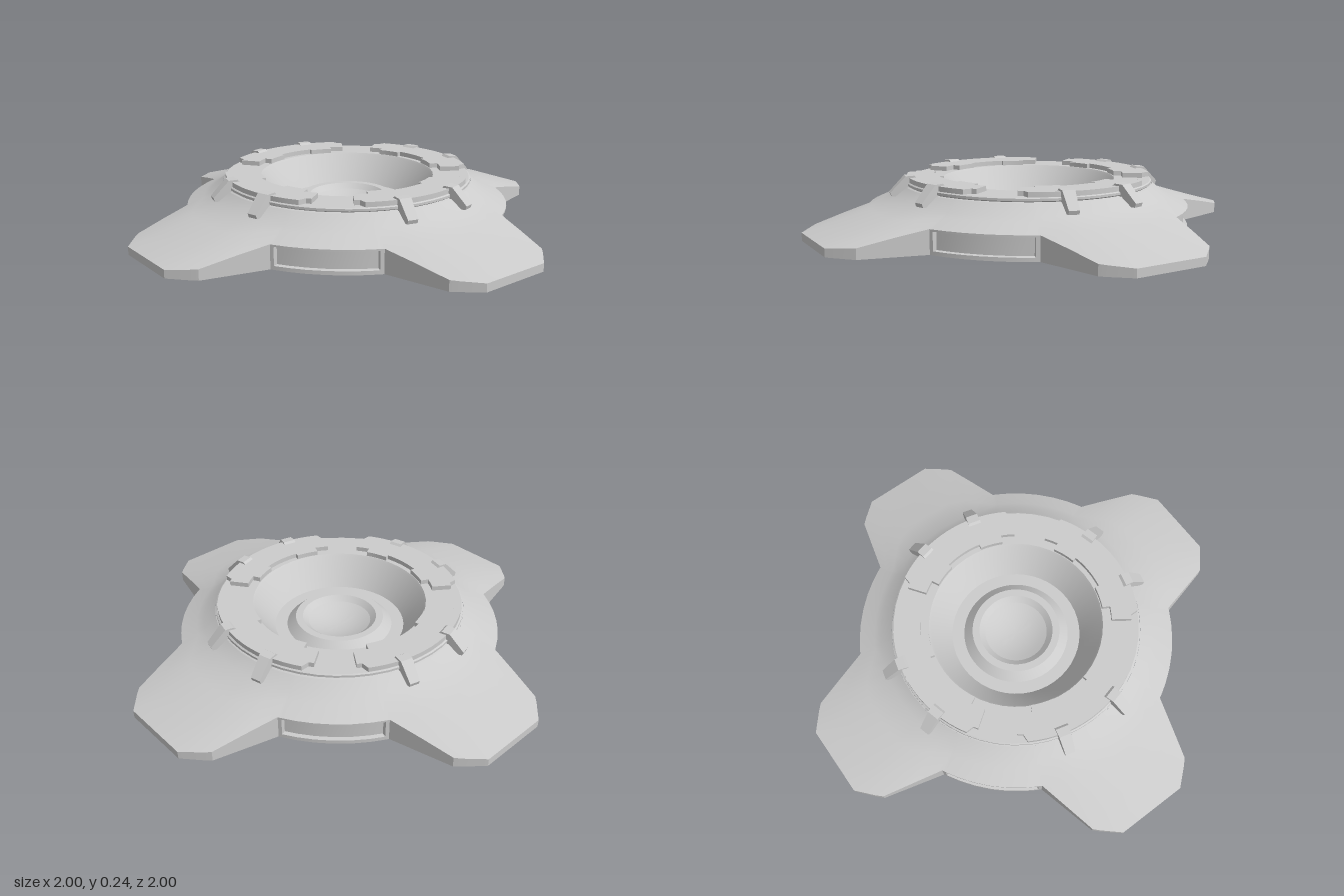
import * as THREE from 'three';
import { toCreasedNormals } from 'three/addons/utils/BufferGeometryUtils.js';

const RAD = Math.PI / 180;

function part(geometry, name, crease = 0.5) {
  const material = new THREE.MeshStandardMaterial({ color: 0xcccccc, side: THREE.DoubleSide });
  const mesh = new THREE.Mesh(toCreasedNormals(geometry, crease), material);
  mesh.name = name;
  return mesh;
}

// One quarter of the star outline, from the +z arm round to the +x arm: x, z, top height, panel inset
function quarterOutline() {
  const arm = [[0, 1, 0.035], [0.16, 1, 0.035], [0.235, 0.935, 0.042], [0.26, 0.91, 0.045], [0.295, 0.775, 0.075]];
  const start = Math.atan2(0.33, 0.64);
  const span = Math.PI / 2 - 2 * start;
  const arc = [0, 0.035, 0.045, 0.17, 0.33, 0.5, 0.67, 0.83, 0.955, 0.965, 1].map((t, i) => {
    const a = start + span * t;
    const inset = i > 1 && i < 9 ? 0.018 : 0;
    return [0.72 * Math.sin(a), 0.72 * Math.cos(a), 0.102, inset];
  });
  const mirrored = arm.slice(1).reverse().map(([x, z, y]) => [z, x, y]);
  return [...arm, ...arc, ...mirrored];
}

// Hollow star-shaped shell lofted from the shoulder to the skirt, with recessed wall panels
function shellGeometry() {
  const outline = [];
  for (let q = 0; q < 4; q++) {
    for (const [x, z, y, inset = 0] of quarterOutline()) {
      outline.push({ a: Math.atan2(x, z) + q * Math.PI / 2, r: Math.hypot(x, z), y, inset });
    }
  }
  const rings = [
    () => [0.56, 0.193],
    () => [0.615, 0.15],
    o => [THREE.MathUtils.lerp(0.615, o.r, 0.3), THREE.MathUtils.lerp(0.15, o.y, 0.32)],
    o => [THREE.MathUtils.lerp(0.615, o.r, 0.65), THREE.MathUtils.lerp(0.15, o.y, 0.67)],
    o => [o.r, o.y],
    o => [o.r, o.y * 0.92],
    o => [o.r - o.inset, o.y * 0.9],
    o => [o.r - o.inset, o.y * 0.18],
    o => [o.r, o.y * 0.16],
    o => [o.r, 0],
  ];
  const n = outline.length;
  const positions = [];
  const index = [];
  rings.forEach((ring, i) => {
    outline.forEach((o, j) => {
      const [r, y] = ring(o);
      positions.push(r * Math.sin(o.a), y, r * Math.cos(o.a));
      if (i === rings.length - 1) return;
      const a = i * n + j;
      const b = i * n + (j + 1) % n;
      index.push(a, a + n, b, b, a + n, b + n);
    });
  });
  const geometry = new THREE.BufferGeometry();
  geometry.setAttribute('position', new THREE.Float32BufferAttribute(positions, 3));
  geometry.setIndex(index);
  return geometry;
}

function latheGeometry(points, segments) {
  return new THREE.LatheGeometry(points.map(([r, y]) => new THREE.Vector2(r, y)), segments);
}

// Stepped arc plate lying flat, centred on the z axis
function plateGeometry() {
  const points = [];
  const arc = (r, from, to, steps) => {
    for (let i = 0; i <= steps; i++) {
      const a = (from + (to - from) * i / steps) * RAD;
      points.push(new THREE.Vector2(r * Math.sin(a), r * Math.cos(a)));
    }
  };
  arc(0.548, -31, 31, 14);
  arc(0.516, 33, 35.5, 1);
  arc(0.428, 35.5, 27, 2);
  arc(0.393, 27, 12, 4);
  arc(0.412, 12, -12, 6);
  arc(0.393, -12, -27, 4);
  arc(0.428, -27, -35.5, 2);
  arc(0.516, -35.5, -33, 1);
  const geometry = new THREE.ExtrudeGeometry(new THREE.Shape(points), { depth: 0.022, bevelEnabled: false });
  return geometry.rotateX(-Math.PI / 2).translate(0, 0.213, 0);
}

// Bent clamp hooked over the rim, narrowing outwards
function clampGeometry() {
  const profile = [[0.515, 0.21], [0.515, 0.235], [0.525, 0.244], [0.562, 0.242], [0.63, 0.172], [0.624, 0.155], [0.6, 0.155], [0.56, 0.19]];
  const shape = new THREE.Shape(profile.map(([r, y]) => new THREE.Vector2(r, y)));
  const geometry = new THREE.ExtrudeGeometry(shape, { depth: 0.06, bevelEnabled: false });
  geometry.translate(0, 0, -0.03).rotateY(-Math.PI / 2);
  const p = geometry.attributes.position;
  for (let i = 0; i < p.count; i++) {
    p.setX(i, p.getX(i) * (1 - (p.getZ(i) - 0.515) * 2.2));
  }
  return geometry;
}

export function createModel() {
  const model = new THREE.Group();
  model.name = 'starBase';
  model.add(part(shellGeometry(), 'starShell', 0.4));

  // Raised collar, sloping bowl and the ridge around the dish
  model.add(part(latheGeometry([
    [0.56, 0.19], [0.548, 0.195], [0.556, 0.2], [0.556, 0.21], [0.55, 0.214],
    [0.39, 0.214], [0.382, 0.205], [0.295, 0.08], [0.24, 0.08],
    [0.2, 0.118], [0.168, 0.118], [0.142, 0.096],
  ], 48), 'collarAndBowl'));

  // Shallow dish at the centre
  const dish = [];
  for (let i = 0; i <= 6; i++) {
    const r = 0.142 * (1 - i / 6);
    dish.push([r, 0.064 + 0.032 * (r / 0.142) ** 2]);
  }
  model.add(part(latheGeometry(dish, 48), 'centreDish'));

  // Four rim plates, each flanked by two clamps
  for (let q = 0; q < 4; q++) {
    const quarter = new THREE.Group();
    quarter.name = 'rimQuarter';
    quarter.rotation.y = q * Math.PI / 2;
    const plate = part(plateGeometry(), 'rimPlate');
    plate.rotation.y = Math.PI;
    quarter.add(plate);
    for (const side of [-1, 1]) {
      const clamp = part(clampGeometry(), 'rimClamp');
      clamp.rotation.y = side * 14.5 * RAD;
      quarter.add(clamp);
    }
    model.add(quarter);
  }
  return model;
}
